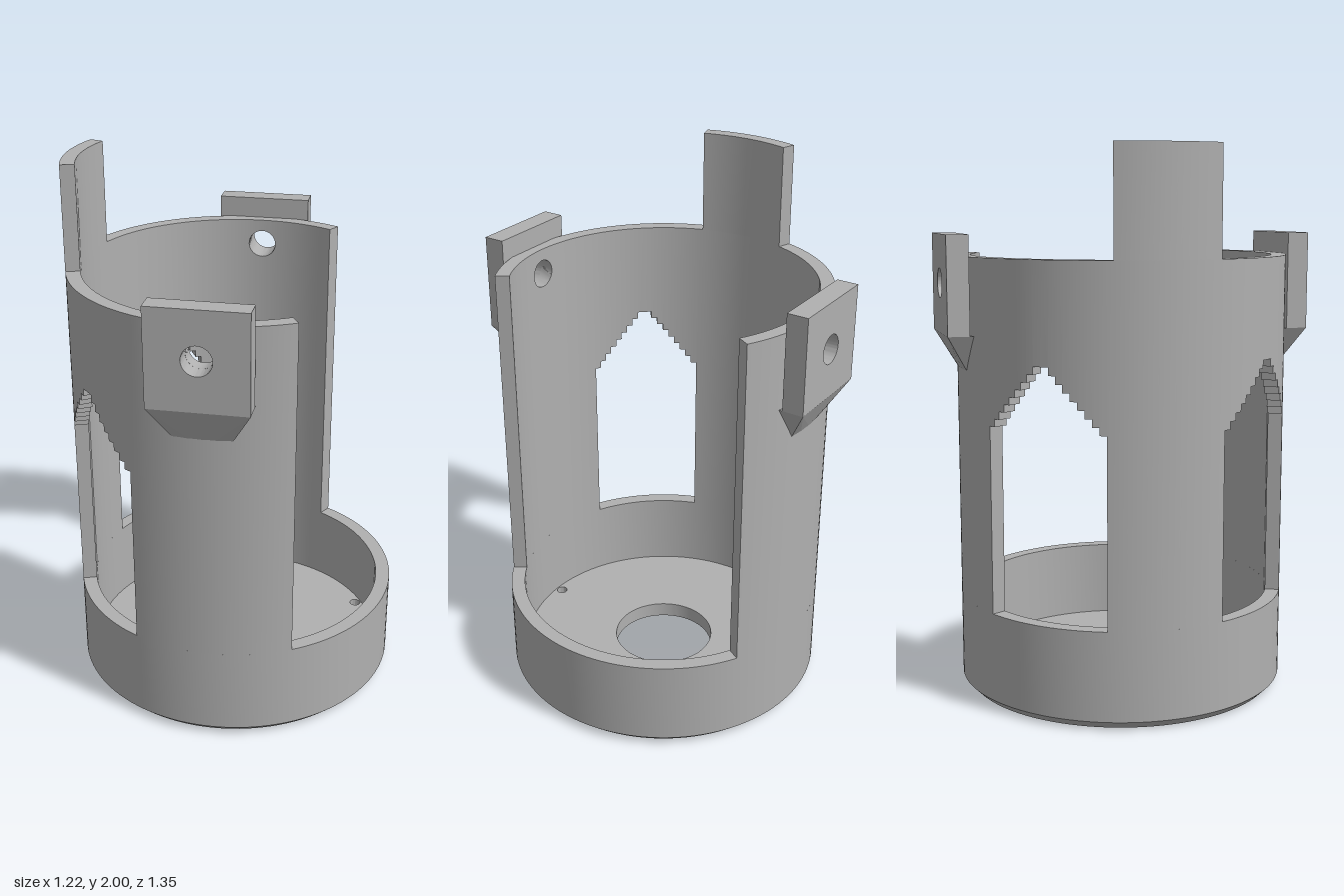
import * as THREE from 'three';
import { mergeGeometries, toCreasedNormals } from 'three/addons/utils/BufferGeometryUtils.js';
import { ConvexGeometry } from 'three/addons/geometries/ConvexGeometry.js';

const R_OUT = 0.61, R_IN = 0.557;        // tube radii
const RIM = 0.355, TOP = 1.617;          // cup rim and wall top
const HOLE_Y = 1.52, HOLE_R = 0.053;     // lug bolt hole
const rad = THREE.MathUtils.degToRad;

// Curved wall block. Angles are degrees from the right (-x) side towards the front;
// lo and hi are heights, or functions of (angle, radius).
function slab(a0, a1, lo, hi, steps = Math.ceil((a1 - a0) / 3), ease = t => t) {
  const pos = [];
  const height = (h, a, r) => (typeof h === 'function' ? h(a, r) : h);
  const point = (a, r, h) => [-r * Math.cos(rad(a)), height(h, a, r), r * Math.sin(rad(a))];
  const quad = (a, b, c, d) => pos.push(...a, ...b, ...c, ...a, ...c, ...d);
  const section = t => {
    const a = a0 + (a1 - a0) * ease(t);
    return [point(a, R_IN, lo), point(a, R_OUT, lo), point(a, R_OUT, hi), point(a, R_IN, hi)];
  };
  for (let i = 0; i < steps; i++) {
    const p = section(i / steps), q = section((i + 1) / steps);
    for (let k = 0; k < 4; k++) {
      const n = (k + 1) % 4;
      quad(p[k], q[k], q[n], p[n]);
    }
  }
  const s = section(0), e = section(1);
  quad(s[0], s[1], s[2], s[3]);
  quad(e[1], e[0], e[3], e[2]);
  const g = new THREE.BufferGeometry();
  g.setAttribute('position', new THREE.Float32BufferAttribute(pos, 3));
  return g;
}

function wallGeometry() {
  const parts = [slab(-20, 20, RIM, TOP)];
  const half = (R) => Math.asin(HOLE_R / R) * 180 / Math.PI;
  const d = half(R_IN);
  for (const side of [-1, 1]) {
    const add = (a, b, ...rest) =>
      parts.push(side > 0 ? slab(a, b, ...rest) : slab(-b, -a, ...rest));

    // stepped, pointed head above each window (20 to 64 degrees)
    const levels = 8, step = 2.4, rise = 0.028, mid = 42;
    for (let k = 0; k < levels; k++) {
      const w = 22 - k * step, y = 1.035 + k * rise;
      add(mid - w, mid - w + step, y, TOP, 2);
      add(mid + w - step, mid + w, y, TOP, 2);
    }
    const peak = 22 - levels * step;
    add(mid - peak, mid + peak, 1.035 + levels * rise, TOP, 2);

    // side wall with the bolt hole at 90 degrees
    add(64, 90 - d, RIM, TOP);
    add(90 + d, 120, RIM, TOP);
    const gap = (a, r) => {
      const u = r * Math.cos(rad(a));
      return Math.sqrt(Math.max(0, HOLE_R * HOLE_R - u * u));
    };
    const ease = t => (1 - Math.cos(Math.PI * t)) / 2;
    const below = Math.abs, c = a => below(a);
    add(90 - d, 90 + d, RIM, (a, r) => HOLE_Y - gap(c(a), r), 16, ease);
    add(90 - d, 90 + d, (a, r) => HOLE_Y + gap(c(a), r), TOP, 16, ease);
  }
  return toCreasedNormals(mergeGeometries(parts), 0.5);
}

function circleHole(shape, x, y, r) {
  shape.holes.push(new THREE.Path().absarc(x, y, r, 0, Math.PI * 2, true));
}

export function createModel() {
  const model = new THREE.Group();
  model.name = 'slottedHousing';
  const grey = new THREE.MeshStandardMaterial({ color: 0xb0b0b0 });
  grey.name = 'grey';
  const add = (name, geometry, parent = model) => {
    const mesh = new THREE.Mesh(geometry, grey);
    mesh.name = name;
    parent.add(mesh);
    return mesh;
  };

  // cup wall with a chamfered foot
  const profile = [[R_IN, 0], [0.58, 0], [R_OUT, 0.03], [R_OUT, RIM], [R_IN, RIM], [R_IN, 0]]
    .map(([x, y]) => new THREE.Vector2(x, y));
  add('baseRing', toCreasedNormals(new THREE.LatheGeometry(profile, 120), 0.5));

  // floor with the centre bore and three screw holes
  const disc = new THREE.Shape().absarc(0, 0, R_IN, 0, Math.PI * 2, false);
  circleHole(disc, 0, 0, 0.195);
  for (const deg of [30, 150, 270]) {
    circleHole(disc, 0.532 * Math.cos(rad(deg)), 0.532 * Math.sin(rad(deg)), 0.021);
  }
  const floor = new THREE.ExtrudeGeometry(disc, { depth: 0.06, bevelEnabled: false, curveSegments: 60 });
  floor.rotateX(-Math.PI / 2);
  add('floor', toCreasedNormals(floor, 0.5));

  // upright wall, open on the left, and its tall tab
  add('wall', wallGeometry());
  add('tallTab', toCreasedNormals(slab(-18, 18, TOP, 2), 0.5));

  // bolt lugs, front and back
  const plate = new THREE.Shape([[-0.176, 1.34], [0.176, 1.34], [0.176, 1.695], [-0.176, 1.695]]
    .map(([x, y]) => new THREE.Vector2(x, y)));
  circleHole(plate, 0, HOLE_Y, HOLE_R);
  const plateGeometry = toCreasedNormals(
    new THREE.ExtrudeGeometry(plate, { depth: 0.079, bevelEnabled: false, curveSegments: 32 })
      .translate(0, 0, 0.597), 0.5);

  // tapered support under each plate, running into the wall
  const hull = [];
  for (const s of [-1, 1]) {
    hull.push(new THREE.Vector3(s * 0.176, 1.34, 0.676), new THREE.Vector3(s * 0.176, 1.34, 0.582));
    hull.push(new THREE.Vector3(s * 0.105, 1.212, 0.601), new THREE.Vector3(s * 0.105, 1.212, 0.575));
    hull.push(new THREE.Vector3(s * 0.05, 1.212, 0.608));
  }
  hull.push(new THREE.Vector3(0, 1.212, R_OUT));
  const supportGeometry = new ConvexGeometry(hull);

  for (const [name, turn] of [['frontLug', 0], ['backLug', Math.PI]]) {
    const lug = new THREE.Group();
    lug.name = name;
    lug.rotation.y = turn;
    add('lugPlate', plateGeometry, lug);
    add('lugSupport', supportGeometry, lug);
    model.add(lug);
  }
  return model;
}
